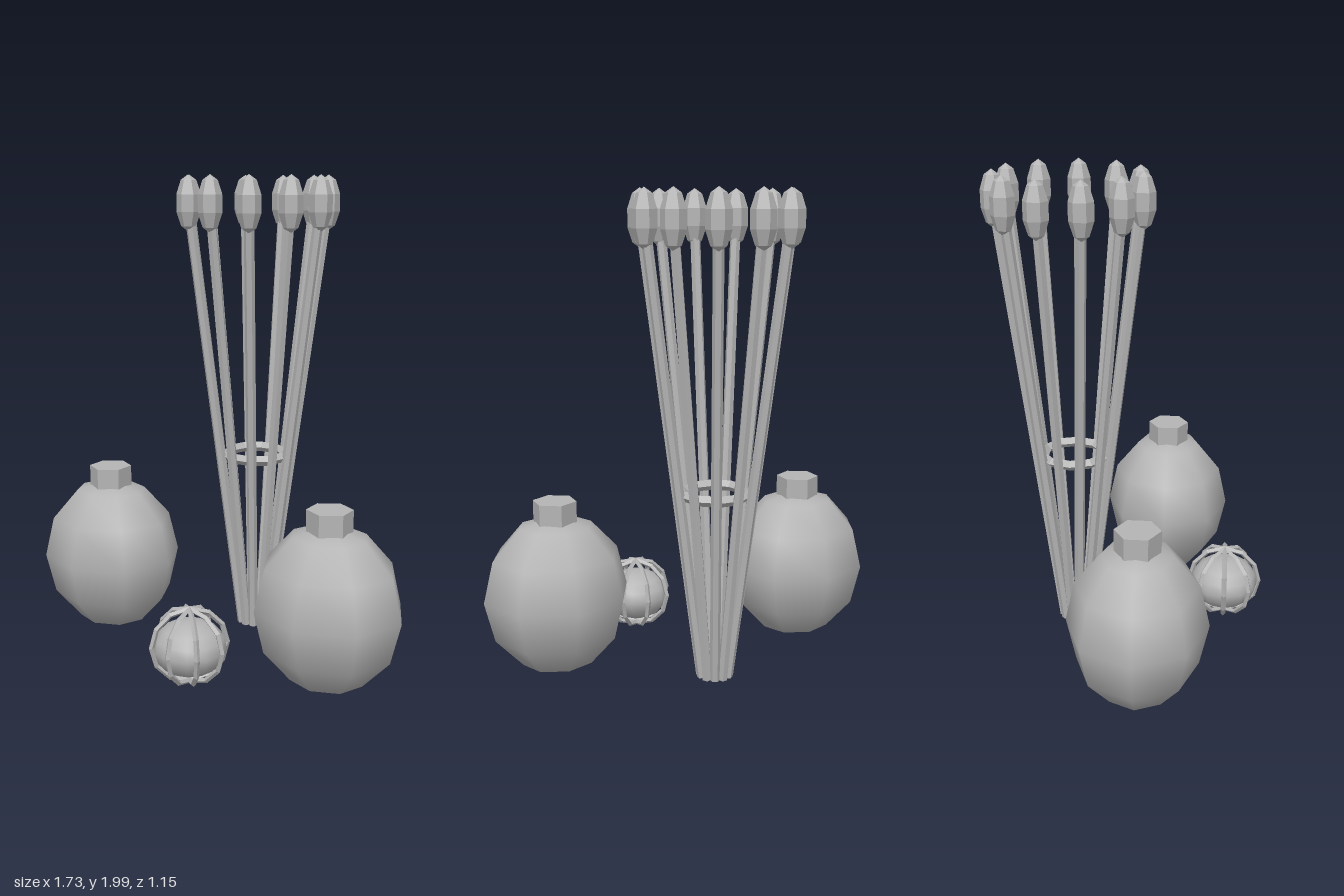
import * as THREE from 'three';

const grey = new THREE.MeshStandardMaterial({ color: 0xb4b4b4 });
grey.name = 'stone grey';

// Faceted normals without touching the shared material
function flat(geometry) {
  const g = geometry.toNonIndexed();
  g.computeVertexNormals();
  return g;
}

function part(name, geometry, x = 0, y = 0, z = 0) {
  const mesh = new THREE.Mesh(geometry, grey);
  mesh.name = name;
  mesh.position.set(x, y, z);
  return mesh;
}

// Big rounded pot with a hexagonal cap
function makePot(name, x, z) {
  const pot = new THREE.Group();
  pot.name = name;
  pot.position.set(x, 0, z);
  const body = part('potBody', new THREE.SphereGeometry(1, 8, 6), 0, 0.35, 0);
  body.scale.set(0.31, 0.34, 0.28);
  const cap = part('potCap', flat(new THREE.CylinderGeometry(0.091, 0.091, 0.13, 6)), 0, 0.685, 0);
  pot.add(body, cap);
  return pot;
}

// Small ball inside a cage of four hoops
function makeCagedBall() {
  const ball = new THREE.Group();
  ball.name = 'cagedBall';
  ball.position.set(0.09, 0.187, 0.412);
  const core = part('ballCore', new THREE.SphereGeometry(1, 12, 8), 0, -0.008, 0);
  core.scale.set(0.148, 0.112, 0.148);
  ball.add(core);
  const hoopGeo = flat(new THREE.TorusGeometry(0.152, 0.011, 4, 12));
  for (let i = 0; i < 4; i++) {
    const hoop = part('ballHoop', hoopGeo);
    hoop.rotation.y = i * Math.PI / 4;
    ball.add(hoop);
  }
  return ball;
}

// Flaring bundle of stalks with pointed heads, held by a ring
function makeBundle() {
  const bundle = new THREE.Group();
  bundle.name = 'stalkBundle';
  bundle.position.set(0, 0, -0.238);
  const count = 11;
  const low = new THREE.Vector2(0.058, 0.037);
  const high = new THREE.Vector2(0.29, 1.84);
  const run = high.clone().sub(low);
  const stalkGeo = flat(new THREE.CylinderGeometry(0.021, 0.021, run.length(), 6));
  const headGeo = flat(new THREE.SphereGeometry(1, 6, 5).rotateY(Math.PI / 2).scale(0.051, 0.114, 0.051));

  for (let i = 0; i < count; i++) {
    const a = i * 2 * Math.PI / count;
    const spoke = new THREE.Group();
    spoke.name = 'stalkWithHead';
    spoke.rotation.y = a;
    const stalk = part('stalk', stalkGeo, (low.x + high.x) / 2, (low.y + high.y) / 2, 0);
    stalk.rotation.z = -Math.atan2(run.x, run.y);
    const head = part('stalkHead', headGeo, 0.295, 1.886, 0);
    head.rotation.y = -a; // all heads keep the same heading
    spoke.add(stalk, head);
    bundle.add(spoke);
  }

  const ring = part('bundleRing', flat(new THREE.TorusGeometry(0.131, 0.022, 4, 10)), 0, 0.812, 0);
  ring.rotation.x = Math.PI / 2;
  bundle.add(ring);
  return bundle;
}

export function createModel() {
  const model = new THREE.Group();
  model.name = 'potsAndStalks';
  model.add(
    makePot('rightPot', -0.558, 0.075),
    makePot('leftPot', 0.553, 0.133),
    makeCagedBall(),
    makeBundle()
  );
  return model;
}
